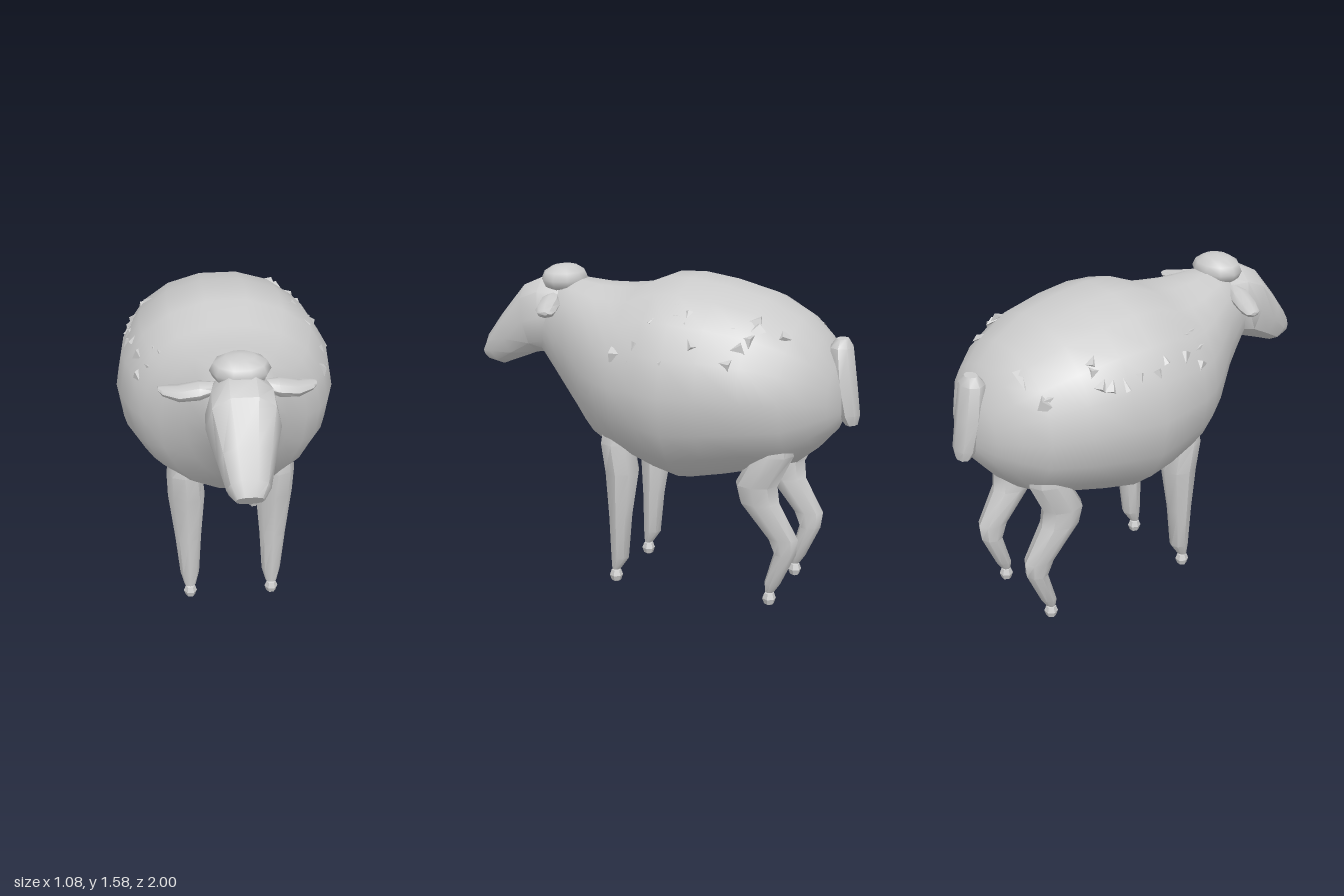
import * as THREE from 'three';
import { toCreasedNormals } from 'three/addons/utils/BufferGeometryUtils.js';

const V = (x, y, z) => new THREE.Vector3(x, y, z);
const material = new THREE.MeshStandardMaterial({ color: 0xcccccc });

// Closed skin over rings { c, u, v }: centre and two half axes, with u x v along the path
function loft(rings, sides, crease = 0.8, power = 1) {
  const pos = [], index = [];
  const bend = t => Math.sign(t) * Math.pow(Math.abs(t), power);
  for (const { c, u, v } of rings) {
    for (let j = 0; j < sides; j++) {
      const a = (j / sides) * Math.PI * 2;
      const p = c.clone().addScaledVector(u, bend(Math.cos(a))).addScaledVector(v, bend(Math.sin(a)));
      pos.push(p.x, p.y, p.z);
    }
  }
  const n = rings.length, first = n * sides, last = first + 1;
  pos.push(...rings[0].c.toArray(), ...rings[n - 1].c.toArray());
  for (let j = 0; j < sides; j++) {
    const k = (j + 1) % sides;
    for (let i = 0; i < n - 1; i++) {
      const a = i * sides, b = a + sides;
      index.push(a + j, a + k, b + k, a + j, b + k, b + j);
    }
    const e = (n - 1) * sides;
    index.push(first, k, j, last, e + j, e + k);
  }
  const geo = new THREE.BufferGeometry();
  geo.setAttribute('position', new THREE.Float32BufferAttribute(pos, 3));
  geo.setIndex(index);
  return toCreasedNormals(geo, crease);
}

// Body stations: z, top, bottom, half width
const BODY = [
  [-0.925, 1.1, 0.93, 0.08], [-0.89, 1.2, 0.86, 0.2], [-0.82, 1.32, 0.78, 0.31],
  [-0.72, 1.41, 0.7, 0.4], [-0.55, 1.5, 0.65, 0.49], [-0.35, 1.55, 0.6, 0.525],
  [-0.18, 1.575, 0.565, 0.54], [-0.05, 1.57, 0.6, 0.525], [0.1, 1.51, 0.655, 0.48],
  [0.2, 1.5, 0.68, 0.43], [0.31, 1.5, 0.73, 0.35], [0.45, 1.515, 0.88, 0.24],
  [0.57, 1.49, 1.03, 0.17], [0.64, 1.42, 1.12, 0.13],
];

// Head stations: z and y of the upper point, z and y of the lower point, half width
const HEAD = [
  [0.5, 1.5, 0.46, 1.2, 0.13], [0.64, 1.52, 0.6, 1.13, 0.165], [0.74, 1.475, 0.67, 1.12, 0.17],
  [0.88, 1.31, 0.79, 1.075, 0.128], [0.97, 1.19, 0.88, 1.04, 0.1], [1.0, 1.12, 0.95, 1.055, 0.065],
];

// Limb stations: y, x, half width, back z, front z
const FRONT_LEG = [
  [0.84, 0.235, 0.07, 0.08, 0.23], [0.75, 0.23, 0.088, 0.07, 0.245], [0.6, 0.22, 0.092, 0.05, 0.225],
  [0.36, 0.215, 0.066, 0.09, 0.21], [0.14, 0.21, 0.048, 0.11, 0.205], [0.075, 0.21, 0.028, 0.155, 0.2],
];
const HIND_LEG = [
  [0.86, 0.235, 0.07, -0.74, -0.6], [0.78, 0.235, 0.088, -0.75, -0.55], [0.62, 0.225, 0.09, -0.67, -0.46],
  [0.53, 0.22, 0.085, -0.68, -0.48], [0.36, 0.215, 0.064, -0.775, -0.62], [0.28, 0.21, 0.056, -0.765, -0.655],
  [0.12, 0.21, 0.045, -0.69, -0.61], [0.075, 0.21, 0.028, -0.66, -0.615],
];
const TAIL = [
  [1.31, -0.01, 0.04, -0.93, -0.87], [1.27, -0.01, 0.075, -0.955, -0.84], [1.1, -0.005, 0.08, -0.98, -0.85],
  [0.95, 0, 0.07, -1.0, -0.89], [0.9, 0, 0.045, -0.99, -0.93],
];
const limbRings = (list, s = 1) => list.map(([y, x, w, z0, z1]) => ({
  c: V(x * s, y, (z0 + z1) / 2), u: V(w, 0, 0), v: V(0, 0, (z1 - z0) / 2),
}));

// Ear stations: x, y, z, half height, half depth
const EAR = [
  [0.11, 1.42, 0.55, 0.03, 0.03], [0.18, 1.405, 0.54, 0.042, 0.055],
  [0.27, 1.385, 0.52, 0.035, 0.055], [0.34, 1.385, 0.49, 0.02, 0.04], [0.36, 1.39, 0.48, 0.008, 0.02],
];

export function createModel() {
  const group = new THREE.Group();
  const add = (name, geo) => {
    const mesh = new THREE.Mesh(geo, material);
    mesh.name = name;
    group.add(mesh);
    return mesh;
  };

  add('woollyBody', loft(BODY.map(([z, top, low, w]) => ({
    c: V(0, (top + low) / 2, z), u: V(w, 0, 0), v: V(0, (top - low) / 2, 0),
  })), 18, 0.9, 0.95));

  add('head', loft(HEAD.map(([z1, y1, z0, y0, w]) => ({
    c: V(0.005, (y0 + y1) / 2, (z0 + z1) / 2), u: V(w, 0, 0), v: V(0, (y1 - y0) / 2, (z1 - z0) / 2),
  })), 10, 0.7, 0.85));

  // Cap of wool on the crown
  const crown = add('crownWool', new THREE.SphereGeometry(1, 10, 6));
  crown.scale.set(0.14, 0.075, 0.115);
  crown.position.set(0.005, 1.505, 0.54);

  add('tail', loft(limbRings(TAIL), 8));

  for (const s of [1, -1]) {
    const side = s > 0 ? 'left' : 'right';
    add(side + 'Ear', loft(EAR.map(([x, y, z, h, d]) => ({
      c: V(x * s, y, z), u: V(0, h, 0), v: V(0, 0, d * s),
    })), 8));
    for (const [part, list, z] of [['Front', FRONT_LEG, 0.18], ['Hind', HIND_LEG, -0.635]]) {
      add(side + part + 'Leg', loft(limbRings(list, s), 8));
      const hoof = add(side + part + 'Hoof', toCreasedNormals(new THREE.SphereGeometry(1, 6, 4), 0.5));
      hoof.scale.set(0.034, 0.039, 0.034);
      hoof.position.set(0.21 * s, 0.039, z);
    }
  }

  // Ragged flakes of wool lying along the upper flanks
  let seed = 7;
  const rand = () => (seed = (seed * 16807) % 2147483647) / 2147483647;
  const tuftGeo = new THREE.ConeGeometry(0.05, 0.12, 3).toNonIndexed();
  tuftGeo.computeVertexNormals();
  for (let i = 0; i < 32; i++) {
    const z = -0.75 + rand() * 0.9;
    const k = BODY.findIndex(b => b[0] > z);
    const t = (z - BODY[k - 1][0]) / (BODY[k][0] - BODY[k - 1][0]);
    const [, top, low, w] = BODY[k].map((b, n) => THREE.MathUtils.lerp(BODY[k - 1][n], b, t));
    const a = 0.3 + rand() * 0.7, s = i % 2 ? 1 : -1, h = (top - low) / 2;
    const tuft = add('woolTuft', tuftGeo);
    tuft.position.set(s * w * Math.cos(a) * 0.985, (top + low) / 2 + h * Math.sin(a) * 0.985, z);
    const out = V(s * Math.cos(a) / w, Math.sin(a) / h, 0).normalize();
    tuft.quaternion.setFromUnitVectors(V(0, 0, 1), out);
    tuft.rotateZ(rand() * Math.PI * 2);
    tuft.scale.set(0.9, 0.9, 0.35);
  }
  return group;
}
